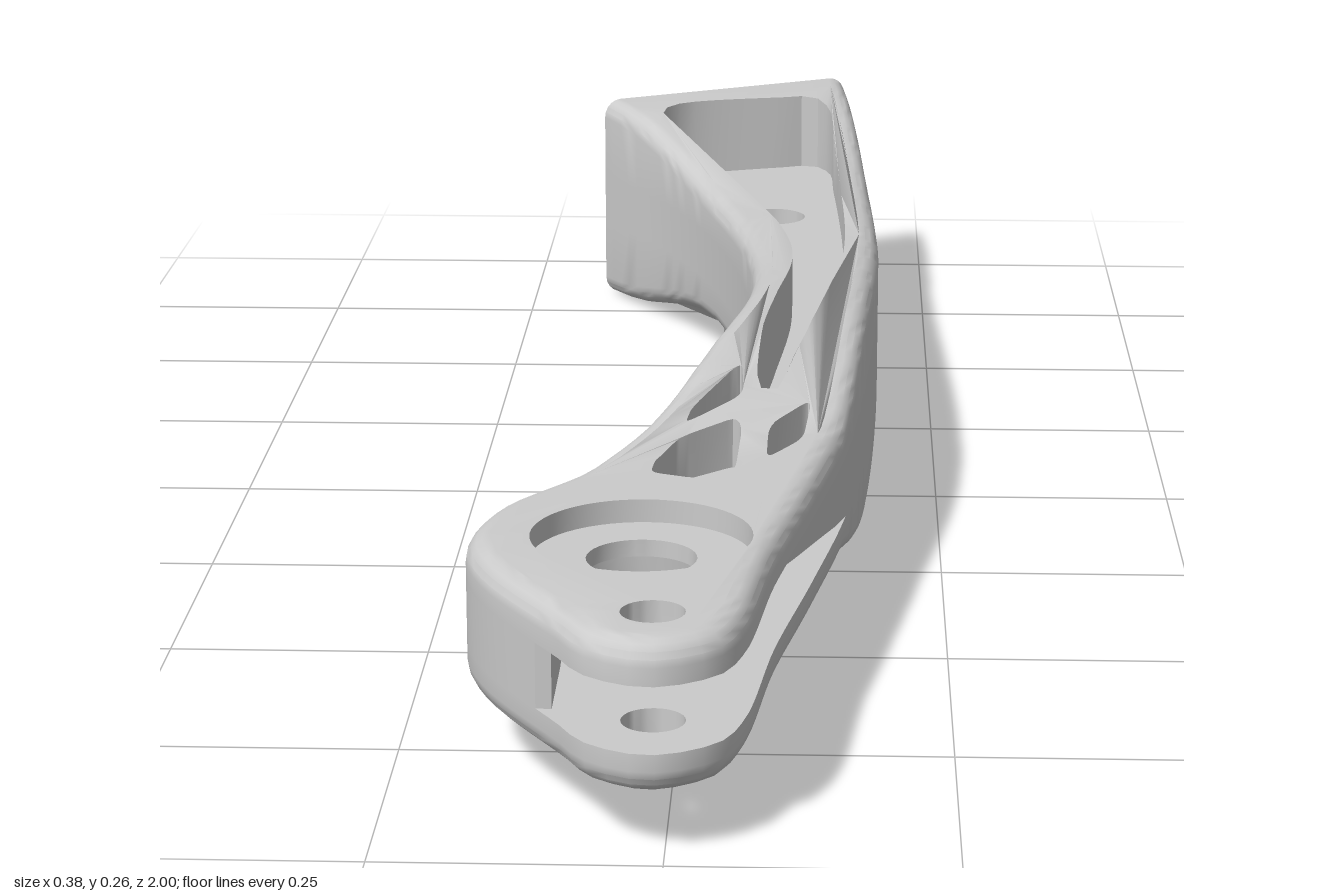
import * as THREE from 'three';
import { toCreasedNormals } from 'three/addons/utils/BufferGeometryUtils.js';

const WEB = 0.03;       // half thickness of the centre web and of the fork slot
const MID_Y = 0.128;    // height of the symmetry plane
const V = (x, z) => new THREE.Vector2(x, z);

// smooth plan curve through a few (x, z) points
function smooth(points, count, closed = false) {
  const curve = new THREE.CatmullRomCurve3(points.map(([x, z]) => new THREE.Vector3(x, 0, z)), closed);
  const out = curve.getSpacedPoints(count).map(p => V(p.x, p.z));
  if (closed) out.pop();
  return out;
}

function circle(x, z, r, n = 40) {
  return Array.from({ length: n }, (_, i) => {
    const a = i / n * Math.PI * 2;
    return V(x + r * Math.cos(a), z + r * Math.sin(a));
  });
}

// polygon with softened corners
function rounded(corners, k = 0.25) {
  const c = corners.map(([x, z]) => V(x, z)), out = [];
  c.forEach((p, i) => {
    const a = p.clone().lerp(c[(i + c.length - 1) % c.length], k);
    const b = p.clone().lerp(c[(i + 1) % c.length], k);
    out.push(...new THREE.QuadraticBezierCurve(a, p, b).getPoints(5));
  });
  return out;
}

// half height along the arm; stations run parallel to the slanted back end
const HEIGHTS = [[-0.93, 0.128], [-0.88, 0.126], [-0.82, 0.12], [-0.75, 0.107], [-0.68, 0.094], [-0.6, 0.083],
  [-0.5, 0.078], [-0.4, 0.079], [-0.3, 0.082], [-0.2, 0.088], [-0.1, 0.097], [0, 0.107], [0.08, 0.114],
  [0.16, 0.118], [0.23, 0.117], [0.3, 0.108], [0.38, 0.09], [0.464, 0.068]];
function halfHeight(p) {
  const s = p.y + 0.56 * p.x;
  let i = HEIGHTS.findIndex(h => h[0] > s);
  if (i < 0) return HEIGHTS[HEIGHTS.length - 1][1];
  i = Math.max(i, 1);
  const [a, b] = [HEIGHTS[i - 1], HEIGHTS[i]];
  return THREE.MathUtils.lerp(a[1], b[1], THREE.MathUtils.clamp((s - a[0]) / (b[0] - a[0]), 0, 1));
}

// inward offset of an outline; its closing edge (the end face) stays in place
function inset(ring, d) {
  const last = ring.length - 1;
  return ring.map((p, i) => {
    if (i === 0 || i === last) return p.clone().addScaledVector(ring[last - i].clone().sub(p).normalize(), d);
    const t = ring[i + 1].clone().sub(ring[i - 1]).normalize();
    return V(p.x - t.y * d, p.y + t.x * d);
  });
}

// solid from outline and holes between y0 and top(p), with a rounded upper rim; sign -1 mirrors it in y
function prism(name, outline, holes, y0, top, fillet, sign, material) {
  const pos = [];
  const tri = (a, b, c) => {
    for (const p of sign > 0 ? [a, b, c] : [a, c, b]) pos.push(p[0], p[1] * sign, p[2]);
  };
  const ccw = ring => THREE.ShapeUtils.area(ring) > 0 ? ring : ring.slice().reverse();
  const wall = (lo, hi, outside) => lo.forEach((a, i) => {
    const j = (i + 1) % lo.length, b = lo[j], c = hi[j], d = hi[i];
    if (outside) { tri(a, c, b); tri(a, d, c); } else { tri(a, b, c); tri(a, c, d); }
  });
  const at = (ring, y) => ring.map((p, i) => [p.x, y(p, i), p.y]);
  outline = ccw(outline);
  holes = holes.map(ccw);

  // outer wall and rounded rim
  let prev = at(outline, () => y0), rim = outline;
  const steps = fillet ? 5 : 0;
  for (let k = 0; k <= steps; k++) {
    const a = steps ? k / steps * Math.PI / 2 : 0;
    rim = fillet ? inset(outline, fillet * (1 - Math.cos(a))) : outline;
    const next = at(rim, (p, i) => top(outline[i]) - fillet * (1 - Math.sin(a)));
    wall(prev, next, true);
    prev = next;
  }
  // hole walls
  for (const h of holes) wall(at(h, () => y0), at(h, top), false);
  // upper and lower caps
  const cap = (ring, ringPts, y, up) => {
    const flat = [ring, ...holes].flat();
    const pts = [...ringPts, ...holes.flatMap(h => at(h, y))];
    for (const [a, b, c] of THREE.ShapeUtils.triangulateShape(ring, holes)) {
      const positive = THREE.ShapeUtils.area([flat[a], flat[b], flat[c]]) > 0;
      if (positive === up) tri(pts[a], pts[c], pts[b]); else tri(pts[a], pts[b], pts[c]);
    }
  };
  cap(rim, prev, top, true);
  cap(outline, at(outline, () => y0), () => y0, false);

  const geo = new THREE.BufferGeometry();
  geo.setAttribute('position', new THREE.Float32BufferAttribute(pos, 3));
  const mesh = new THREE.Mesh(toCreasedNormals(geo, 0.6), material);
  mesh.name = name;
  return mesh;
}

export function createModel() {
  const group = new THREE.Group();
  group.name = 'leverArm';
  const material = new THREE.MeshStandardMaterial({ color: 0xcccccc });

  // plan outline: right rear corner, forward round the lug, back to the left rear corner
  const outline = smooth([[0.147, -1], [0.17, -0.76], [0.186, -0.39], [0.186, -0.18], [0.175, 0.08], [0.153, 0.35],
    [0.12, 0.56], [0.088, 0.74], [0.064, 0.92], [0.044, 0.968], [-0.012, 0.997], [-0.066, 0.972], [-0.095, 0.925],
    [-0.168, 0.8], [-0.189, 0.72], [-0.17, 0.63], [-0.105, 0.53], [-0.042, 0.415], [0.01, 0.24], [0.042, 0.055],
    [0.047, -0.13], [0.026, -0.34], [-0.02, -0.54], [-0.075, -0.685], [-0.16, -0.84]], 180);

  // long pocket, ribbed cells and bores, repeated on the top and bottom
  const pocket = smooth([[0.07, -0.89], [0.105, -0.9], [0.127, -0.865], [0.135, -0.75], [0.146, -0.5], [0.149, -0.3],
    [0.143, -0.1], [0.122, 0.12], [0.1, 0.25], [0.077, 0.34], [0.067, 0.335], [0.064, 0.22], [0.075, 0.08],
    [0.09, -0.13], [0.085, -0.29], [0.058, -0.45], [0.005, -0.605], [-0.06, -0.745], [-0.083, -0.8],
    [-0.065, -0.835]], 110, true);
  const cells = [
    [[0.046, 0.285], [0.05, 0.35], [-0.005, 0.418], [0, 0.39]],
    [[-0.01, 0.445], [0.05, 0.388], [0.046, 0.535], [0.01, 0.552], [-0.033, 0.535], [-0.03, 0.495]],
    [[0.075, 0.4], [0.117, 0.34], [0.108, 0.425], [0.075, 0.487]],
  ].map(c => rounded(c));
  const bore = [-0.032, 0.717];
  const holes = [pocket, ...cells, circle(...bore, 0.1, 56), circle(-0.012, 0.918, 0.028, 28)];

  for (const [side, sign] of [['upper', 1], ['lower', -1]]) {
    group.add(prism(side + 'Flange', outline, holes, WEB, halfHeight, 0.022, sign, material));
    // stepped seat inside the large bore
    group.add(prism(side + 'BoreSeat', circle(...bore, 0.1, 56), [circle(...bore, 0.05)], WEB, () => 0.046, 0, sign, material));
  }

  // centre web: the outline with the fork slot cut from the front and right
  const front = outline.findIndex(p => p.y > 0.37);
  const back = outline.findIndex((p, i) => i > 90 && p.x < -0.104 && p.y < 0.92);
  const slot = smooth([[0.14, 0.4], [0.075, 0.555], [0.045, 0.595], [0, 0.612], [-0.055, 0.622], [-0.09, 0.655],
    [-0.1, 0.72], [-0.1, 0.8], [-0.1, 0.895]], 30);
  const web = [...outline.slice(0, front), ...slot, ...outline.slice(back)];
  group.add(prism('centreWeb', web, [circle(0.06, -0.622, 0.04)], -WEB, () => WEB, 0, 1, material));

  group.children.forEach(m => { m.position.y = MID_Y; });
  return group;
}
